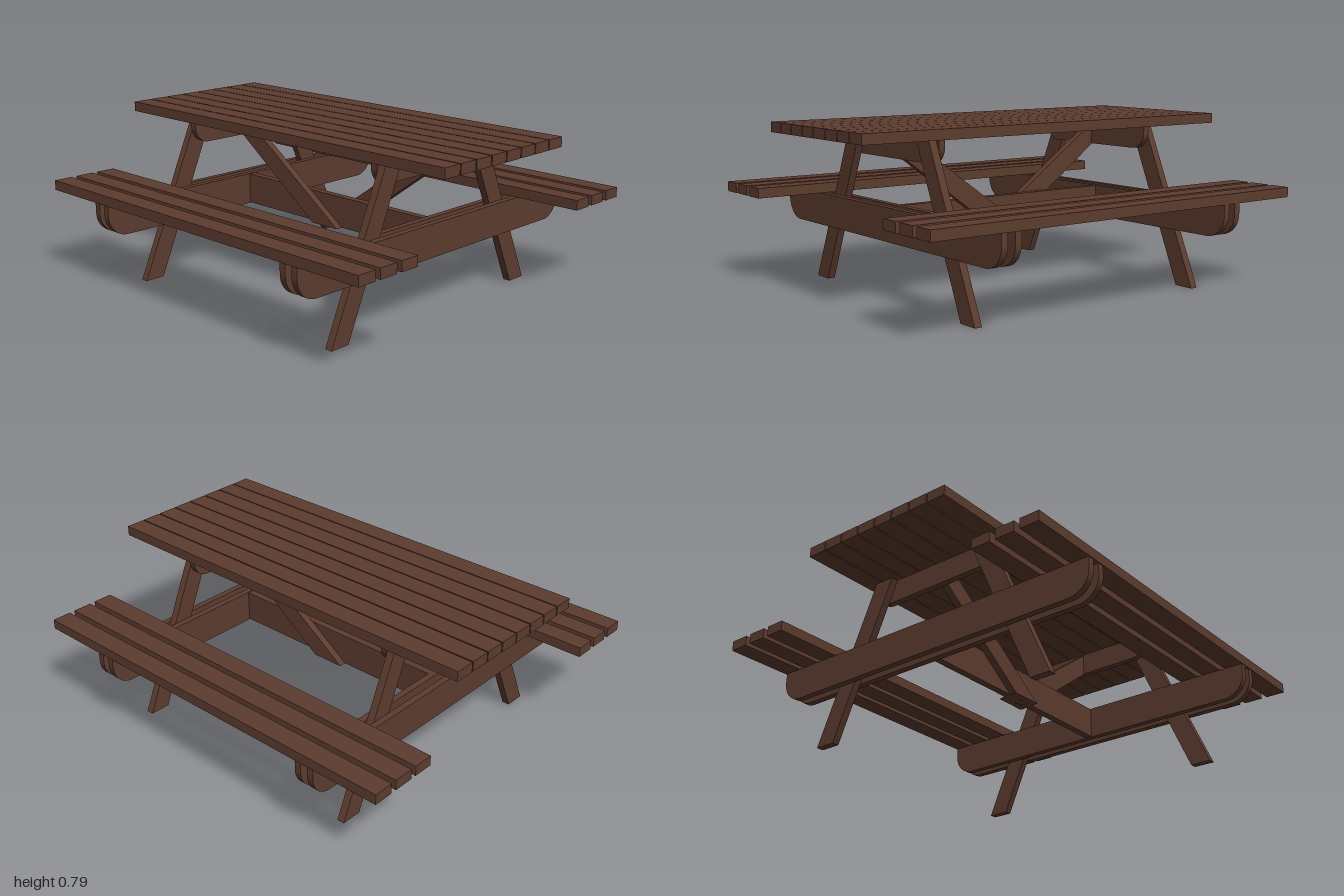
import * as THREE from 'three';

export function createModel() {
  const table = new THREE.Group();
  table.name = 'picnicTable';
  const wood = new THREE.MeshStandardMaterial({ color: 0x5c3c2e });
  wood.name = 'brown wood';

  const add = (geometry, name, x = 0, y = 0, z = 0) => {
    const mesh = new THREE.Mesh(geometry, wood);
    mesh.name = name;
    mesh.position.set(x, y, z);
    table.add(mesh);
    return mesh;
  };

  // Board cut from a flat outline, centred on its thickness
  const cutBoard = (shape, thickness) =>
    new THREE.ExtrudeGeometry(shape, { depth: thickness, bevelEnabled: false, curveSegments: 10 })
      .translate(0, 0, -thickness / 2);

  const polygon = (points) => new THREE.Shape(points.map(([x, y]) => new THREE.Vector2(x, y)));

  // Crosswise beam with rounded lower corners
  const roundedBeam = (half, bottom, top, r) => {
    const s = new THREE.Shape();
    s.moveTo(-half, top);
    s.lineTo(-half, bottom + r);
    s.absarc(-half + r, bottom + r, r, Math.PI, Math.PI * 1.5, false);
    s.lineTo(half - r, bottom);
    s.absarc(half - r, bottom + r, r, Math.PI * 1.5, Math.PI * 2, false);
    s.lineTo(half, top);
    s.closePath();
    return s;
  };

  // Table top planks
  const topPlank = new THREE.BoxGeometry(0.0955, 0.047, 2);
  for (let i = 0; i < 8; i++) add(topPlank, 'topPlank', (i - 3.5) * 0.1012, 0.767, 0);

  // Bench planks, three on each side
  const benchPlank = new THREE.BoxGeometry(0.094, 0.047, 2);
  for (const side of [-1, 1]) {
    for (let i = 0; i < 3; i++) add(benchPlank, 'benchPlank', side * (0.6 + i * 0.121), 0.448, 0);
  }

  // Two end frames: slanted legs, a pair of bench beams and a top support
  const leg = cutBoard(polygon([[0.563, 0], [0.664, 0], [0.337, 0.741], [0.238, 0.741]]), 0.036);
  const benchBeam = cutBoard(roundedBeam(0.885, 0.27, 0.4245, 0.105), 0.031);
  const topSupport = cutBoard(roundedBeam(0.36, 0.634, 0.7425, 0.08), 0.031);
  for (const end of [-1, 1]) {
    add(leg, 'leg', 0, 0, end * 0.623);
    add(leg, 'leg', 0, 0, end * 0.623).rotation.y = Math.PI;
    add(benchBeam, 'outerBenchBeam', 0, 0, end * 0.6565);
    add(benchBeam, 'innerBenchBeam', 0, 0, end * 0.5895);
    add(topSupport, 'topSupport', 0, 0, end * 0.5895);
  }

  // Lengthwise board between the frames
  add(new THREE.BoxGeometry(0.036, 0.149, 1.148), 'centreBoard', 0, 0.3475, 0);

  // Diagonal braces, one on each face of the centre board
  const brace = cutBoard(
    polygon([[0.575, 0.738], [-0.077, 0.273], [0.085, 0.273], [0.575, 0.63]].map(([z, y]) => [-z, y])),
    0.035
  ).rotateY(Math.PI / 2);
  add(brace, 'frontBrace', 0.036, 0, 0);
  add(brace, 'backBrace', -0.036, 0, 0).rotation.y = Math.PI;

  return table;
}
